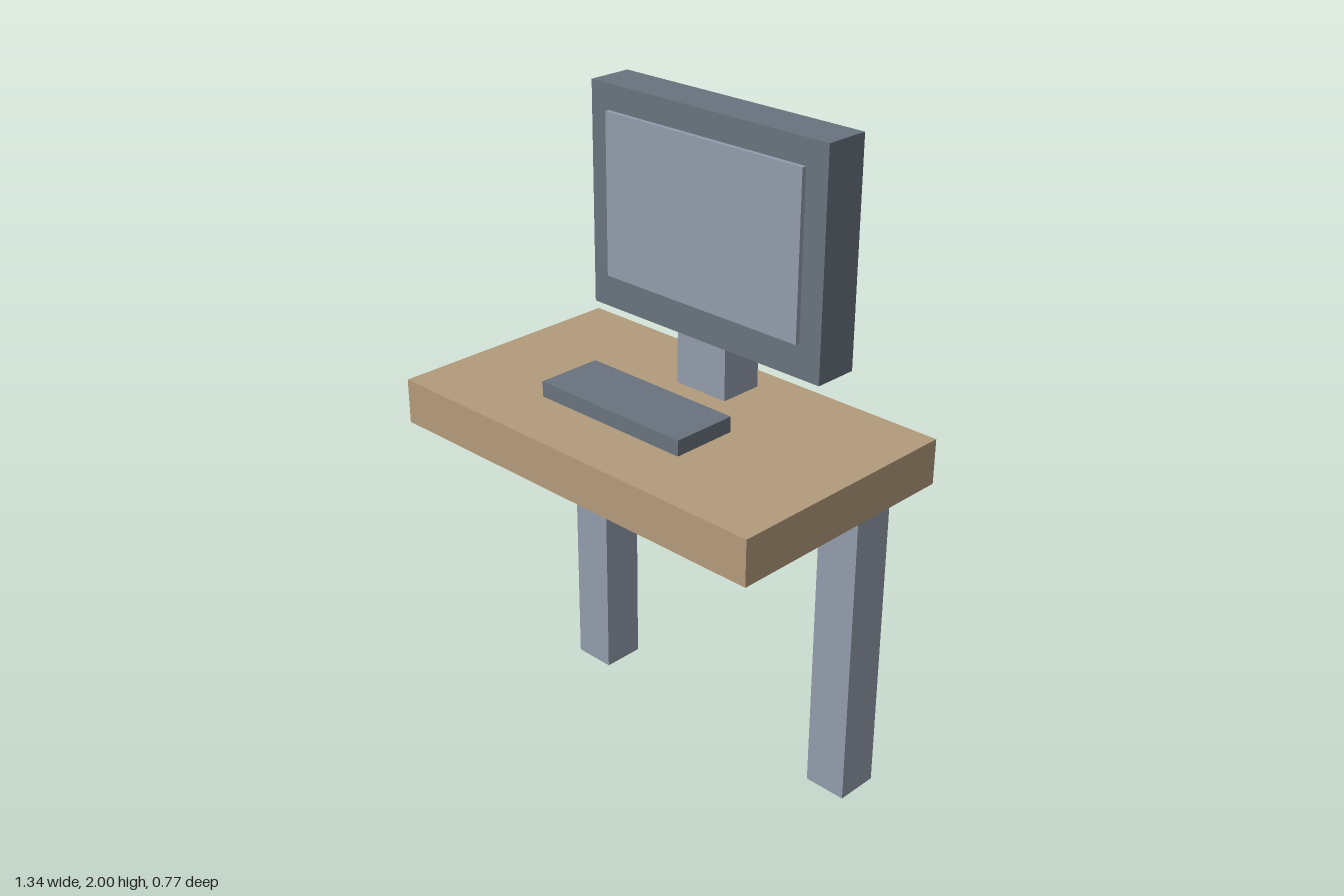
import * as THREE from 'three';

const material = (name, color) => {
  const m = new THREE.MeshStandardMaterial({ color });
  m.name = name;
  return m;
};

// Box given by its extents on each axis
function box(name, mat, [x0, x1], [y0, y1], [z0, z1]) {
  const mesh = new THREE.Mesh(new THREE.BoxGeometry(x1 - x0, y1 - y0, z1 - z0), mat);
  mesh.position.set((x0 + x1) / 2, (y0 + y1) / 2, (z0 + z1) / 2);
  mesh.name = name;
  return mesh;
}

export function createModel() {
  const wood = material('wood', 0xb39b7c);
  const steel = material('light grey steel', 0x929cac);
  const dark = material('dark grey plastic', 0x69727e);

  // Desk: thick top on two legs set towards the back
  const desk = new THREE.Group();
  desk.name = 'desk';
  desk.add(box('deskTop', wood, [-0.669, 0.669], [1.03, 1.168], [-0.386, 0.386]));
  desk.add(box('leftLeg', steel, [0.436, 0.574], [0, 1.03], [-0.322, -0.184]));
  desk.add(box('rightLeg', steel, [-0.574, -0.436], [0, 1.03], [-0.322, -0.184]));

  // Monitor: its stand passes through the desk top
  const monitor = new THREE.Group();
  monitor.name = 'monitor';
  monitor.add(box('stand', steel, [-0.093, 0.093], [1.029, 1.327], [-0.297, -0.156]));
  monitor.add(box('casing', dark, [-0.436, 0.436], [1.327, 2], [-0.297, -0.156]));
  monitor.add(box('screen', steel, [-0.364, 0.364], [1.431, 1.925], [-0.153, -0.139]));

  // Keyboard, held just above the desk top
  const keyboard = box('keyboard', dark, [-0.267, 0.267], [1.189, 1.236], [0.008, 0.214]);

  const model = new THREE.Group();
  model.name = 'computerDesk';
  model.add(desk, monitor, keyboard);
  return model;
}
